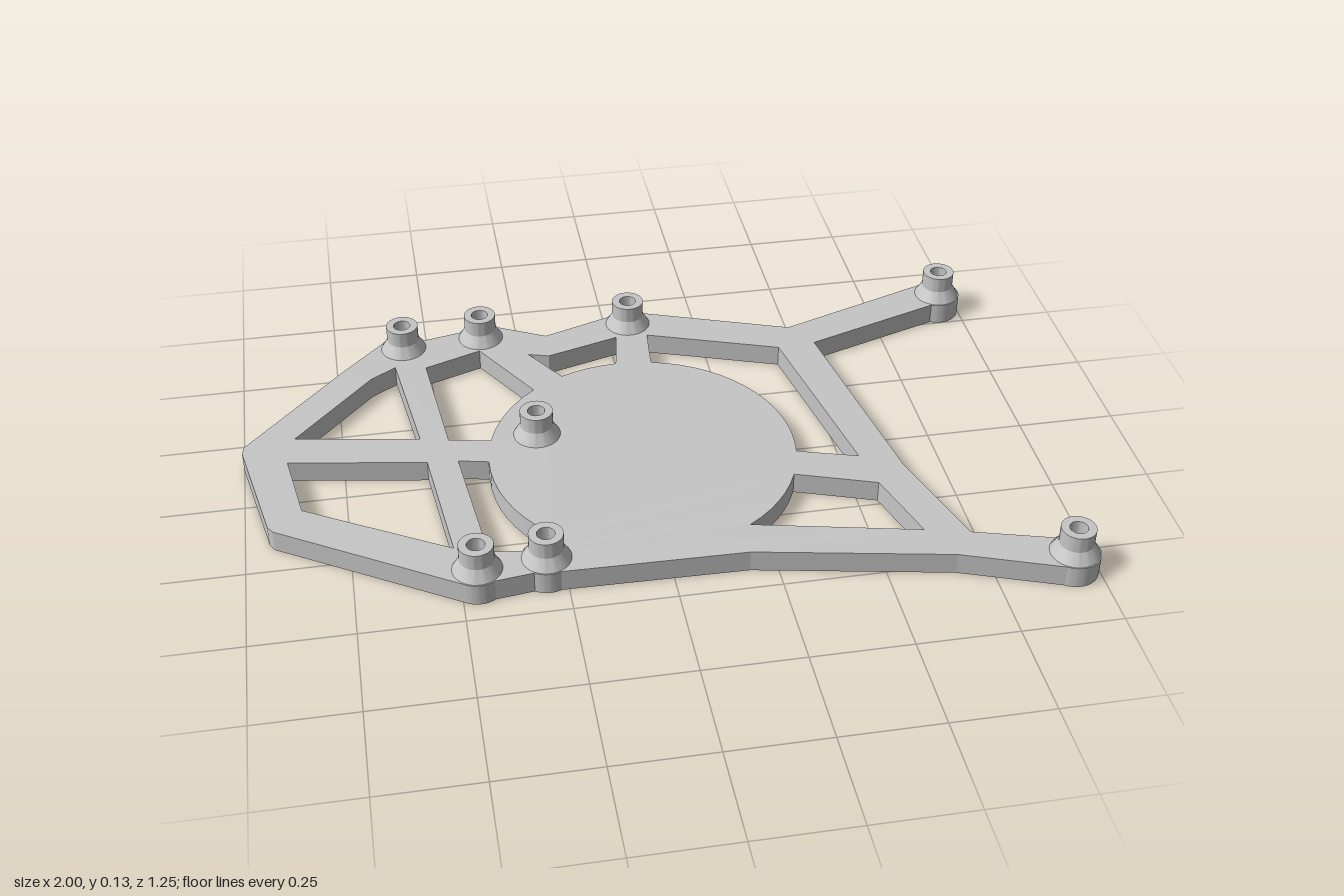
import * as THREE from 'three';
import { toCreasedNormals } from 'three/addons/utils/BufferGeometryUtils.js';

const THICK = 0.057;     // plate thickness
const LUG = 0.063;       // lug radius
const RAD = Math.PI / 180;

// Plan coordinates: x to the right, v towards the back (v = -z)
const DISC = [-0.003, -0.01, 0.388];
const BOSS = {
  A: [-0.565, 0.548], B: [-0.354, 0.564], C: [0.053, 0.564], D: [0.937, 0.564],
  E: [-0.257, 0.106], F: [-0.46, -0.386], G: [-0.295, -0.374], H: [0.937, -0.565],
};

// Points on an arc from angle a0 to a1 in degrees
function arc([cx, cy], r, a0, a1) {
  const n = Math.max(3, Math.ceil(Math.abs(a1 - a0) / 6));
  return Array.from({ length: n + 1 }, (_, i) => {
    const a = (a0 + (a1 - a0) * i / n) * RAD;
    return [cx + r * Math.cos(a), cy + r * Math.sin(a)];
  });
}
const lug = (k, a0, a1) => arc(BOSS[k], LUG, a0, a1);
const disc = (a0, a1) => arc(DISC, DISC[2], a0, a1);
const vecs = (pts) => pts.map(([x, y]) => new THREE.Vector2(x, y));

function plateGeometry() {
  // Outer contour, anticlockwise from the left tip
  const shape = new THREE.Shape(vecs([
    [-0.73, 0.466], [-0.995, 0.173], [-1, 0.148], [-0.942, -0.152], [-0.93, -0.172],
    ...lug('F', -128, -55), ...lug('G', -125, -65),
    [0.182, -0.438], [0.662, -0.53],
    ...lug('H', -125, 118), [0.717, -0.455], [0.63, -0.176], [0.539, 0.385],
    ...lug('D', -118, 130), [0.486, 0.468],
    ...lug('C', 42, 143), [-0.178, 0.54], ...lug('B', 42, 150), ...lug('A', 25, 150),
  ]));
  // Openings between the struts
  const openings = [
    [[-0.594, 0.459], [-0.66, 0.417], [-0.868, 0.187], [-0.553, 0.133]],
    [[-0.888, 0.091], [-0.543, 0.034], [-0.508, -0.305], [-0.858, -0.103]],
    [[-0.466, 0.027], ...disc(177, 225), ...lug('G', 110, 150), [-0.428, -0.332]],
    [[-0.513, 0.444], [-0.364, 0.499], ...disc(128, 164), [-0.482, 0.117]],
    [[-0.236, 0.46], [-0.182, 0.444], [0.01, 0.5], ...disc(91, 114)],
    [[0.096, 0.497], ...disc(77, -10), [0.529, -0.123], [0.438, 0.378]],
    [[0.55, -0.236], ...disc(-24, -58), [0.609, -0.428]],
  ];
  // Hexagonal nut pockets under the bosses
  for (const c of Object.values(BOSS)) {
    openings.push(Array.from({ length: 6 }, (_, i) =>
      [c[0] + 0.035 * Math.cos(i * 60 * RAD), c[1] + 0.035 * Math.sin(i * 60 * RAD)]));
  }
  for (const o of openings) shape.holes.push(new THREE.Path(vecs(o)));
  const geo = new THREE.ExtrudeGeometry(shape, { depth: THICK, bevelEnabled: false });
  geo.rotateX(-Math.PI / 2);
  return toCreasedNormals(geo, 0.15);
}

export function createModel() {
  const model = new THREE.Group();
  const grey = new THREE.MeshStandardMaterial({ color: 0xc6c6c6 });
  grey.name = 'grey';

  const plate = new THREE.Mesh(plateGeometry(), grey);
  plate.name = 'framePlate';
  model.add(plate);

  // Flared hollow standoff, its underside closing the nut pocket to a screw hole
  const profile = vecs([[0.022, THICK], [0.06, THICK], [0.042, 0.088],
    [0.042, 0.13], [0.022, 0.13], [0.022, THICK]]);
  const bossGeo = toCreasedNormals(new THREE.LatheGeometry(profile, 40), 0.4);
  for (const [x, v] of Object.values(BOSS)) {
    const boss = new THREE.Mesh(bossGeo, grey);
    boss.name = 'standoff';
    boss.position.set(x, 0, -v);
    model.add(boss);
  }
  return model;
}
